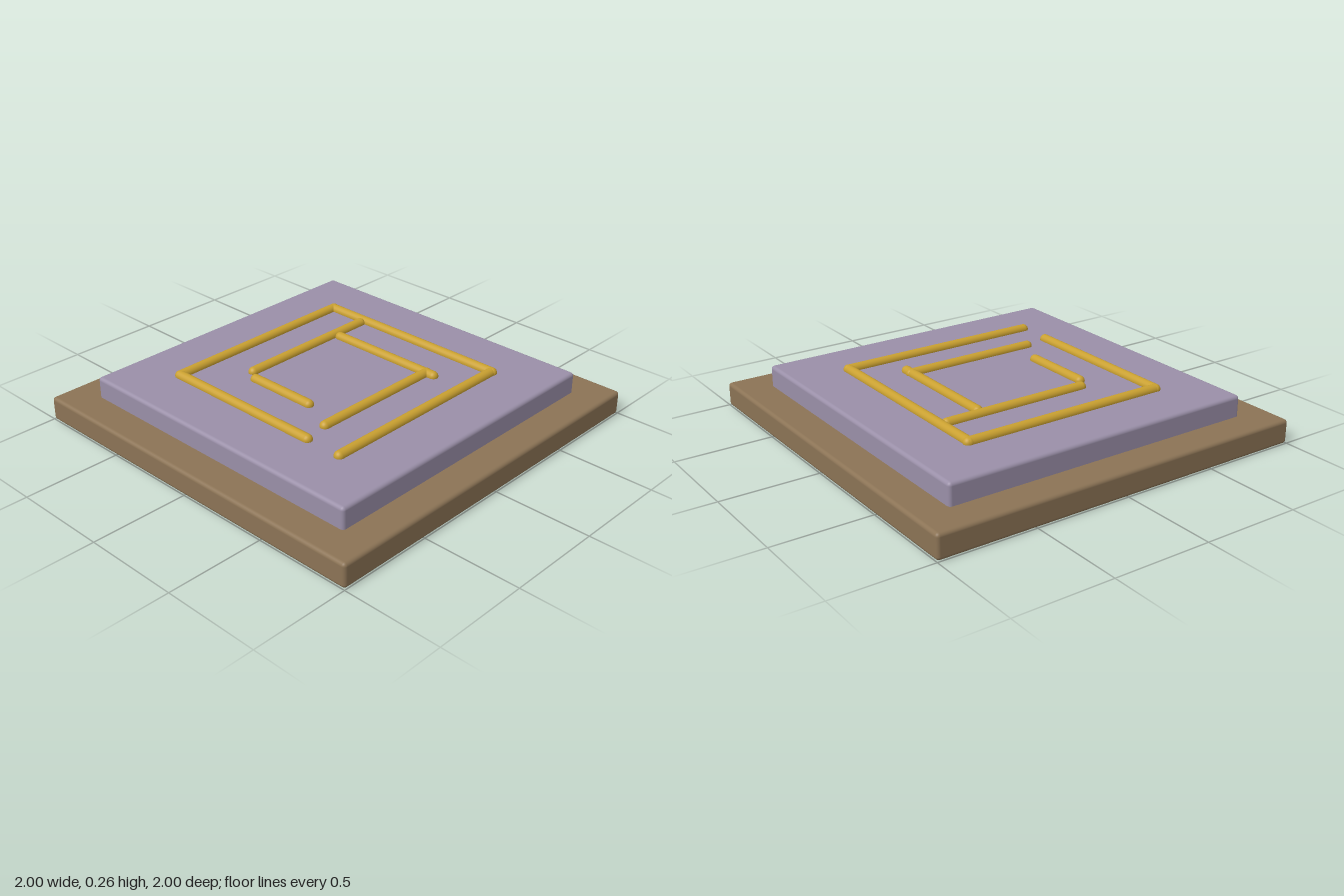
import * as THREE from 'three';
import { RoundedBoxGeometry } from 'three/addons/geometries/RoundedBoxGeometry.js';

const mat = (name, color) => new THREE.MeshStandardMaterial({ name, color });

export function createModel() {
  const group = new THREE.Group();
  const stone = mat('brown stone', 0x8b7355);
  const slabMat = mat('lavender stone', 0x9a8fa8);
  const gold = mat('gold', 0xc9a030);

  // Stepped plinth: rounded slab of given width between two heights
  const slab = (name, width, y0, y1, material) => {
    const mesh = new THREE.Mesh(new RoundedBoxGeometry(width, y1 - y0, width, 3, 0.018), material);
    mesh.position.y = (y0 + y1) / 2;
    mesh.name = name;
    group.add(mesh);
  };
  slab('basePlate', 2, 0, 0.125, stone);
  slab('upperSlab', 1.665, 0.1, 0.234, slabMat);

  // Half-sunk round-ended bars forming the maze: axis, fixed coordinate, start, end
  const radius = 0.026;
  const maze = new THREE.Group();
  maze.name = 'mazeBars';
  const bars = [
    ['x', -0.545, -0.57, 0.57],
    ['z', -0.545, -0.572, 0.362],
    ['z', 0.54, -0.572, 0.567],
    ['x', 0.538, -0.573, 0.567],
    ['x', -0.315, -0.295, 0.53],
    ['z', 0.31, -0.3, 0.382],
    ['x', 0.31, -0.43, 0.34],
    ['z', -0.315, -0.275, 0.142],
  ];
  bars.forEach(([axis, at, from, to], i) => {
    const bar = new THREE.Mesh(new THREE.CapsuleGeometry(radius, to - from - 2 * radius, 8, 20), gold);
    const mid = (from + to) / 2;
    bar.name = `mazeBar${i + 1}`;
    if (axis === 'x') {
      bar.rotation.z = Math.PI / 2;
      bar.position.set(mid, 0.2385, at);
    } else {
      bar.rotation.x = Math.PI / 2;
      bar.position.set(at, 0.2385, mid);
    }
    maze.add(bar);
  });
  group.add(maze);
  return group;
}
